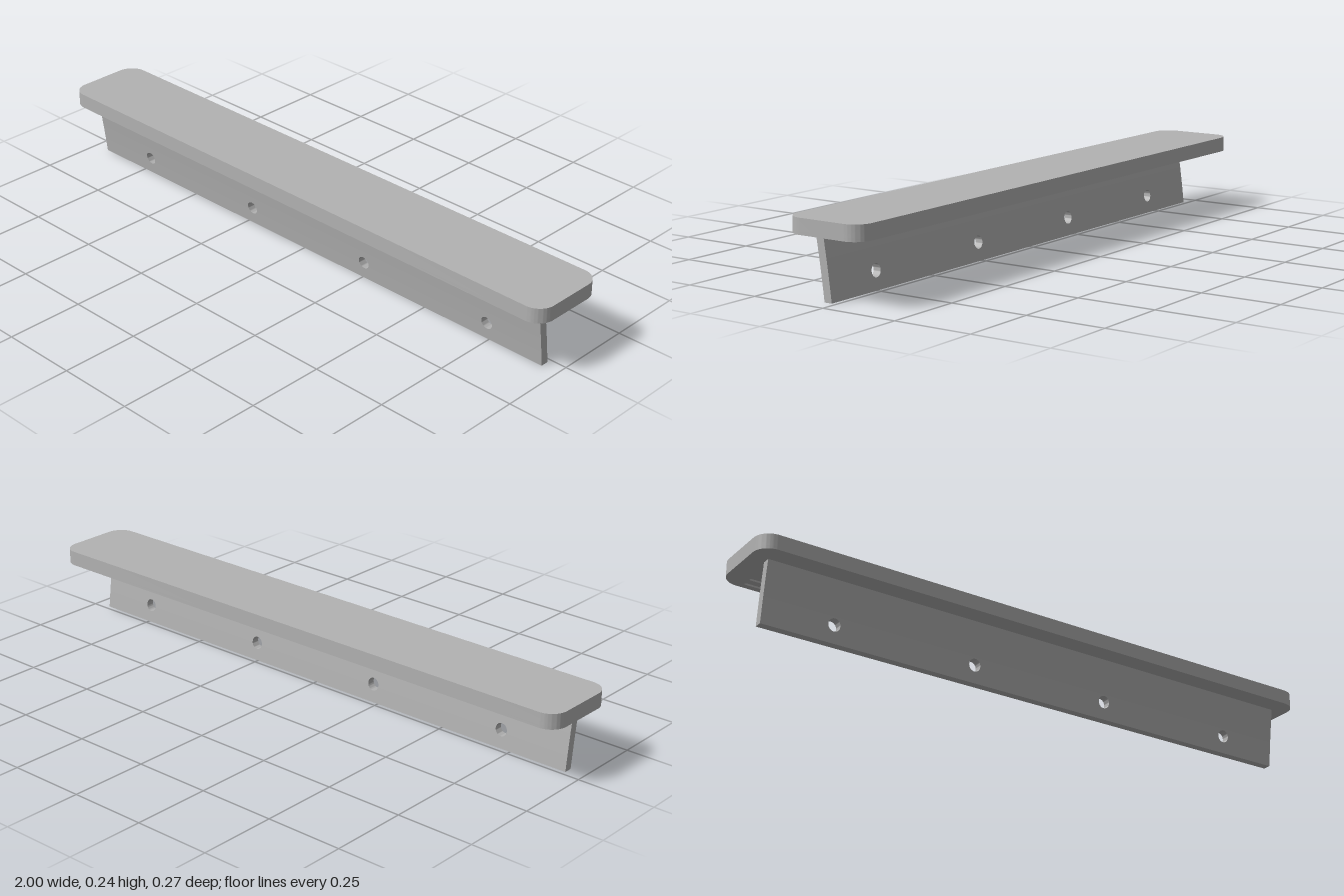
import * as THREE from 'three';
import { mergeGeometries, toCreasedNormals } from 'three/addons/utils/BufferGeometryUtils.js';

const TOP = 0.242, UNDER = 0.194, GROOVE = 0.01;

// Outline in x/z with rounded corners, as a closed path
function roundedRect(path, hw, y0, y1, r) {
  path.moveTo(-hw + r, y0);
  path.lineTo(hw - r, y0);
  path.absarc(hw - r, y0 + r, r, -Math.PI / 2, 0);
  path.lineTo(hw, y1 - r);
  path.absarc(hw - r, y1 - r, r, 0, Math.PI / 2);
  path.lineTo(-hw + r, y1);
  path.absarc(-hw + r, y1 - r, r, Math.PI / 2, Math.PI);
  path.lineTo(-hw, y0 + r);
  path.absarc(-hw + r, y0 + r, r, Math.PI, Math.PI * 1.5);
  return path;
}

// Horizontal slab from y0 to y1; grooves are slots given by their z position
function slab(y0, y1, grooves) {
  const shape = roundedRect(new THREE.Shape(), 1, -0.133, 0.133, 0.055);
  for (const z of grooves) {
    shape.holes.push(roundedRect(new THREE.Path(), 0.93, -z - 0.005, -z + 0.005, 0.004));
  }
  const geo = new THREE.ExtrudeGeometry(shape, { depth: y1 - y0, bevelEnabled: false, curveSegments: 12 });
  geo.rotateX(-Math.PI / 2).translate(0, y0, 0);
  return toCreasedNormals(geo, 0.6);
}

// Gentle forward sweep of the flange with height
const sweep = (y) => { const t = y / UNDER; return 0.015 + 0.027 * (0.8 * t + 0.2 * t * t); };
const slope = (y) => (0.027 / UNDER) * (0.8 + 0.4 * y / UNDER);

// One horizontal band of the flange, sheared along the sweep
function flangeBand(y0, y1, drilled) {
  const hw = 0.945;
  const shape = new THREE.Shape([[-hw, y0], [hw, y0], [hw, y1], [-hw, y1]].map((p) => new THREE.Vector2(...p)));
  if (drilled) {
    for (let i = 0; i < 4; i++) {
      shape.holes.push(new THREE.Path().absarc(-0.711 + i * 0.485, 0.057, 0.02, 0, Math.PI * 2, true));
    }
  }
  const raw = new THREE.ExtrudeGeometry(shape, { depth: 0.026, bevelEnabled: false, curveSegments: 24 });
  const geo = toCreasedNormals(raw, 0.6);
  const pos = geo.attributes.position, nor = geo.attributes.normal;
  const n = new THREE.Vector3();
  for (let i = 0; i < pos.count; i++) {
    const y = pos.getY(i);
    pos.setZ(i, pos.getZ(i) + sweep(y));
    if (Math.abs(nor.getZ(i)) > 0.9) {
      n.set(0, -slope(y), 1).normalize().multiplyScalar(Math.sign(nor.getZ(i)));
      nor.setXYZ(i, n.x, n.y, n.z);
    }
  }
  return geo;
}

export function createModel() {
  const group = new THREE.Group();
  const grey = new THREE.MeshStandardMaterial({ color: 0xb2b2b2 });
  grey.name = 'plain grey';
  const add = (name, geo) => {
    const mesh = new THREE.Mesh(geo, grey);
    mesh.name = name;
    group.add(mesh);
  };

  // Shelf board with two long grooves under its rear half
  add('shelfBoard', slab(UNDER + GROOVE, TOP, []));
  add('groovedUnderside', slab(UNDER, UNDER + GROOVE, [-0.108, -0.075]));

  // Leaning flange with four screw holes
  const levels = [0, 0.03, 0.084, 0.12, 0.157, UNDER];
  const bands = levels.slice(1).map((y, i) => flangeBand(levels[i], y, i === 1));
  add('mountingFlange', mergeGeometries(bands));

  return group;
}
